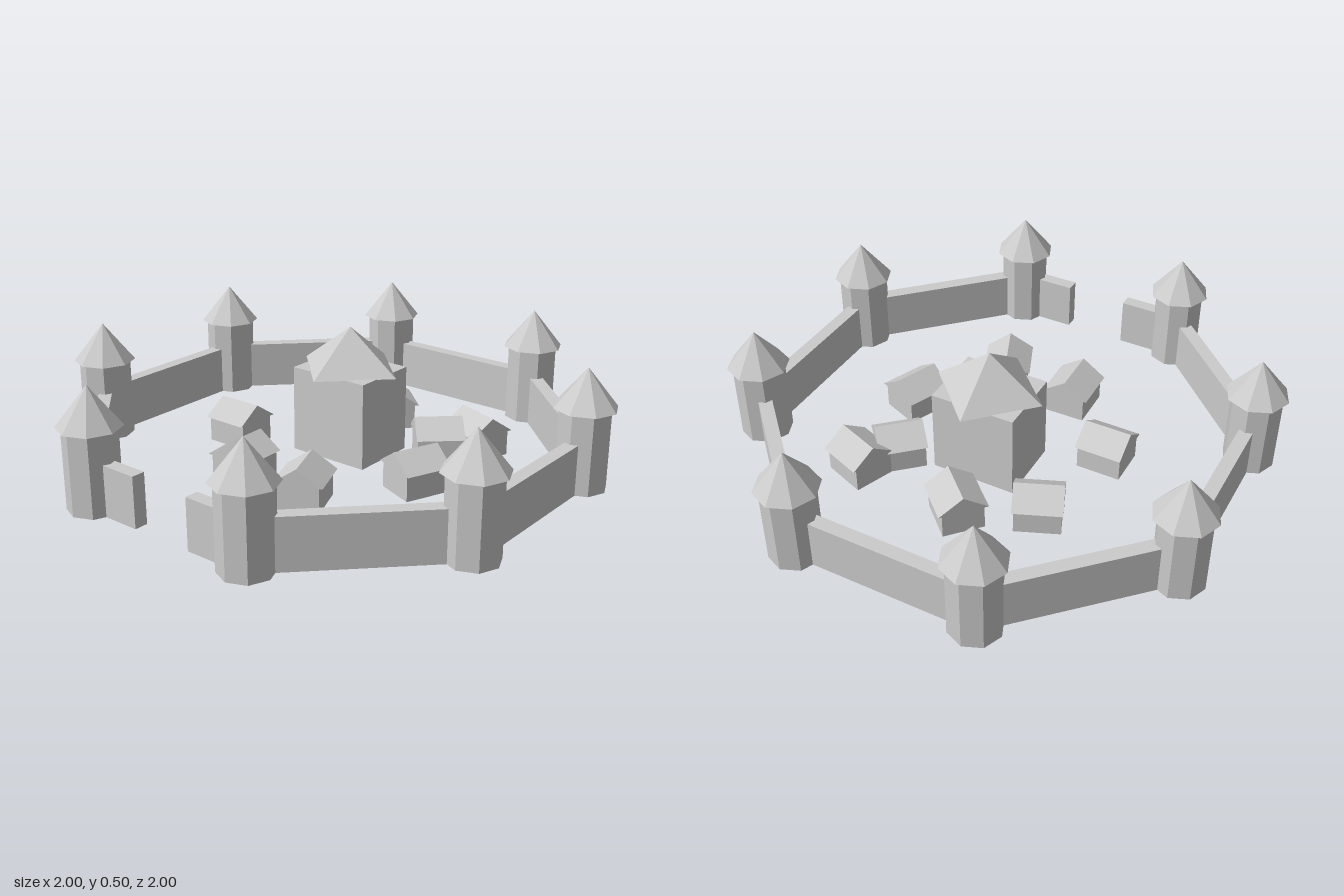
import * as THREE from 'three';

const material = new THREE.MeshStandardMaterial({ color: 0xcccccc, flatShading: true });

function part(parent, name, geometry, x = 0, y = 0, z = 0) {
  const mesh = new THREE.Mesh(geometry, material);
  mesh.name = name;
  mesh.position.set(x, y, z);
  parent.add(mesh);
  return mesh;
}

function group(parent, name, x = 0, z = 0, turn = 0) {
  const g = new THREE.Group();
  g.name = name;
  g.position.set(x, 0, z);
  g.rotation.y = turn;
  parent.add(g);
  return g;
}

// Gabled prism with its ridge along z
function gable(width, height, length) {
  const shape = new THREE.Shape();
  shape.moveTo(-width / 2, 0);
  shape.lineTo(width / 2, 0);
  shape.lineTo(0, height);
  shape.closePath();
  return new THREE.ExtrudeGeometry(shape, { depth: length, bevelEnabled: false })
    .translate(0, 0, -length / 2);
}

export function createModel() {
  const model = new THREE.Group();
  model.name = 'walledVillage';

  // Eight corner towers on a ring
  const ring = 0.95;
  const corners = [];
  for (let i = 0; i < 8; i++) {
    const a = Math.PI / 8 + (i * Math.PI) / 4;
    corners.push(new THREE.Vector2(Math.cos(a) * ring, Math.sin(a) * ring));
  }
  for (const c of corners) {
    const tower = group(model, 'tower', c.x, c.y);
    part(tower, 'towerBody', new THREE.CylinderGeometry(0.1, 0.1, 0.31, 8), 0, 0.155);
    part(tower, 'towerRoof', new THREE.ConeGeometry(0.12, 0.15, 8), 0, 0.385);
  }

  // Curtain walls between towers, with a gate gap at the front
  const wall = (a, b) => {
    const mid = a.clone().add(b).multiplyScalar(0.5);
    const mesh = part(model, 'wall', new THREE.BoxGeometry(0.053, 0.195, a.distanceTo(b)), mid.x, 0.0975, mid.y);
    mesh.rotation.y = Math.atan2(b.x - a.x, b.y - a.y);
  };
  corners.forEach((c, i) => {
    const next = corners[(i + 1) % 8];
    if (i === 1) {
      wall(c, new THREE.Vector2(0.126, c.y));
      wall(new THREE.Vector2(-0.126, c.y), next);
    } else wall(c, next);
  });

  // Central keep, its pyramid roof set diagonally
  const keep = group(model, 'keep', 0, -0.112);
  part(keep, 'keepBody', new THREE.BoxGeometry(0.337, 0.34, 0.275), 0, 0.17);
  part(keep, 'keepRoof', new THREE.ConeGeometry(0.22, 0.163, 4), 0, 0.42);

  // Houses: x, z, then ridge direction in x and z
  const houses = [
    [-0.315, -0.32, 31, -13],
    [-0.046, -0.453, 25, 23],
    [-0.402, 0.086, 1, 0],
    [-0.134, 0.35, 0.02, 1],
    [0.179, 0.375, 13, 31],
    [0.423, 0.04, -13, 33],
    [0.312, -0.267, 26, -24],
    [0.404, -0.405, 33, 12],
  ];
  for (const [x, z, dx, dz] of houses) {
    const house = group(model, 'house', x, z, Math.atan2(dx, dz));
    part(house, 'houseBody', new THREE.BoxGeometry(0.16, 0.1, 0.175), 0, 0.05);
    part(house, 'houseRoof', gable(0.19, 0.065, 0.187), 0, 0.1);
  }

  return model;
}
